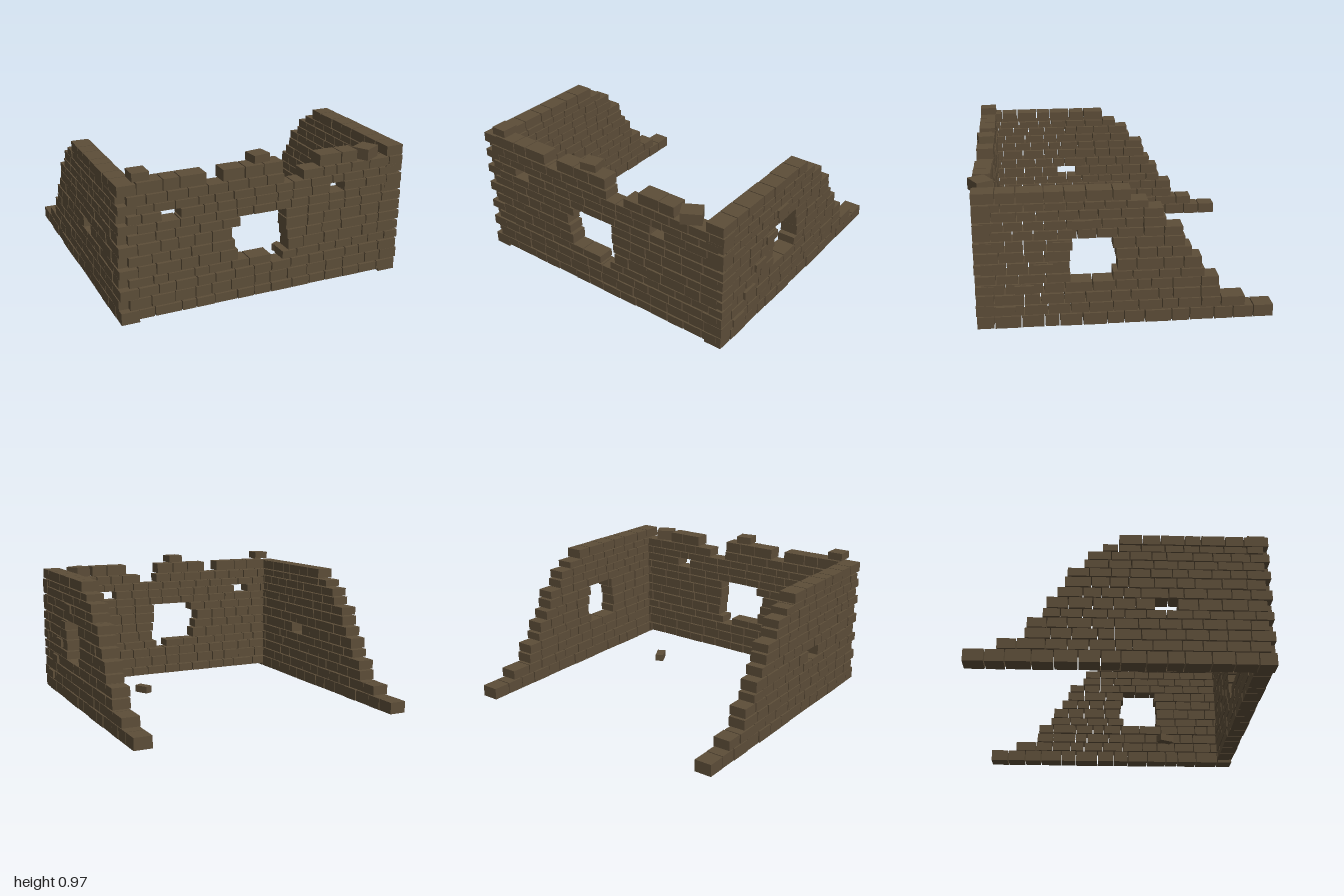
import * as THREE from 'three';

const material = new THREE.MeshStandardMaterial({ color: 0x5c4d38, flatShading: true });
const unitBox = new THREE.BoxGeometry(1, 1, 1);
const GAP = 0.007;

// small seeded generator for brick irregularity
let seed = 7;
function rand(a, b) {
  seed = (seed * 16807) % 2147483647;
  return a + (b - a) * (seed / 2147483647);
}

function brick(parent, name, size, pos, turn = 0) {
  const m = new THREE.Mesh(unitBox, material);
  m.name = name;
  m.scale.set(...size);
  m.position.set(...pos);
  m.rotation.y = turn;
  parent.add(m);
}

// split a run from a to b into bricks of uneven length
function splitRun(a, b) {
  const n = Math.max(1, Math.round((b - a) / 0.135));
  const cuts = [a];
  for (let i = 1; i < n; i++) cuts.push(a + ((b - a) * (i + rand(-0.2, 0.2))) / n);
  cuts.push(b);
  return cuts.slice(1).map((c, i) => [cuts[i], c]);
}

// cut openings out of a run
function cutRun(a, b, holes = []) {
  const runs = [];
  let start = a;
  for (const [h0, h1] of holes) {
    runs.push([start, h0]);
    start = h1;
  }
  runs.push([start, b]);
  return runs;
}

// one course of bricks; along is 'x' or 'z', across is the wall's centre line
function layCourse(wall, along, across, thick, y0, y1, runs) {
  for (const [a, b] of runs) {
    for (const [p, q] of splitRun(a, b)) {
      const len = q - p - GAP, mid = (p + q) / 2, h = y1 - y0, y = (y0 + y1) / 2;
      const off = across + rand(-0.003, 0.003);
      if (along === 'x') brick(wall, 'brick', [len, h, thick], [mid, y, off]);
      else brick(wall, 'brick', [thick, h, len], [off, y, mid]);
    }
  }
}

function frontWall() {
  const wall = new THREE.Group();
  wall.name = 'frontWall';
  const courses = [
    [0.02, 0.08], [0.09, 0.16], [0.167, 0.228], [0.238, 0.29], [0.298, 0.37],
    [0.378, 0.437], [0.445, 0.516], [0.524, 0.58], [0.588, 0.64], [0.647, 0.703],
    [0.71, 0.76], [0.767, 0.827], [0.836, 0.91],
  ];
  // broken central opening, two small vents and gaps in the top
  const holes = {
    3: [[0.02, 0.1]],
    4: [[-0.215, 0.14]],
    5: [[-0.235, 0.13]],
    6: [[-0.255, 0.12]],
    7: [[-0.2, 0.12]],
    9: [[-0.72, -0.6], [0.44, 0.545]],
    11: [[0.1, 0.235]],
    12: [[-0.43, -0.325], [0.09, 0.35]],
  };
  courses.forEach(([y0, y1], i) => {
    const left = i % 2 ? -0.94 : -0.88;
    const right = i === 12 ? 0.63 : i % 2 ? 0.99 : 0.95;
    layCourse(wall, 'x', 0.877, 0.114, y0, y1, cutRun(left, right, holes[i]));
  });
  // loose bricks resting on top
  brick(wall, 'topBrick', [0.11, 0.052, 0.115], [-0.85, 0.945, 0.877]);
  brick(wall, 'topBrick', [0.115, 0.052, 0.105], [-0.063, 0.945, 0.875], 0.15);
  brick(wall, 'turnedBrick', [0.135, 0.075, 0.115], [0.722, 0.873, 0.882], 0.5);
  return wall;
}

function sideWall(name, x, thick, holes, shift) {
  const wall = new THREE.Group();
  wall.name = name;
  const courses = [
    [0, 0.08], [0.087, 0.152], [0.16, 0.226], [0.234, 0.298], [0.305, 0.36],
    [0.367, 0.44], [0.448, 0.512], [0.52, 0.586], [0.594, 0.65], [0.657, 0.712],
    [0.719, 0.775], [0.782, 0.828], [0.835, 0.902],
  ];
  // rear end of each course, stepping down to the back
  const ends = [-0.965, -0.775, -0.61, -0.6, -0.505, -0.485, -0.42, -0.375, -0.36, -0.255, -0.235, -0.14, -0.035];
  courses.forEach(([y0, y1], i) => {
    const back = ends[i] + (i ? shift : 0);
    const front = i % 2 ? 0.9 : 0.937;
    layCourse(wall, 'z', x, thick, y0, y1, cutRun(back, front, holes[i]));
  });
  return wall;
}

export function createModel() {
  seed = 7;
  const model = new THREE.Group();
  model.name = 'ruinedBrickHouse';
  model.add(frontWall());

  // tall window on one side, a single missing brick on the other
  model.add(sideWall('leftWall', 0.922, 0.122,
    { 4: [[0.08, 0.34]], 5: [[0.05, 0.345]], 6: [[0.06, 0.34]], 7: [[0.08, 0.33]] }, 0));
  model.add(sideWall('rightWall', -0.938, 0.118, { 5: [[0.2, 0.34]] }, 0.01));

  // protruding end bricks at the left corner
  [0.125, 0.265, 0.405, 0.55, 0.685].forEach((y, i) => {
    brick(model, 'cornerBrick', [0.1, 0.055, 0.12], [0.948, y, 0.75 - i * 0.12]);
  });

  // fallen brick on the ground inside
  brick(model, 'fallenBrick', [0.06, 0.05, 0.11], [0.397, 0.025, 0.368], 0.48);
  return model;
}
